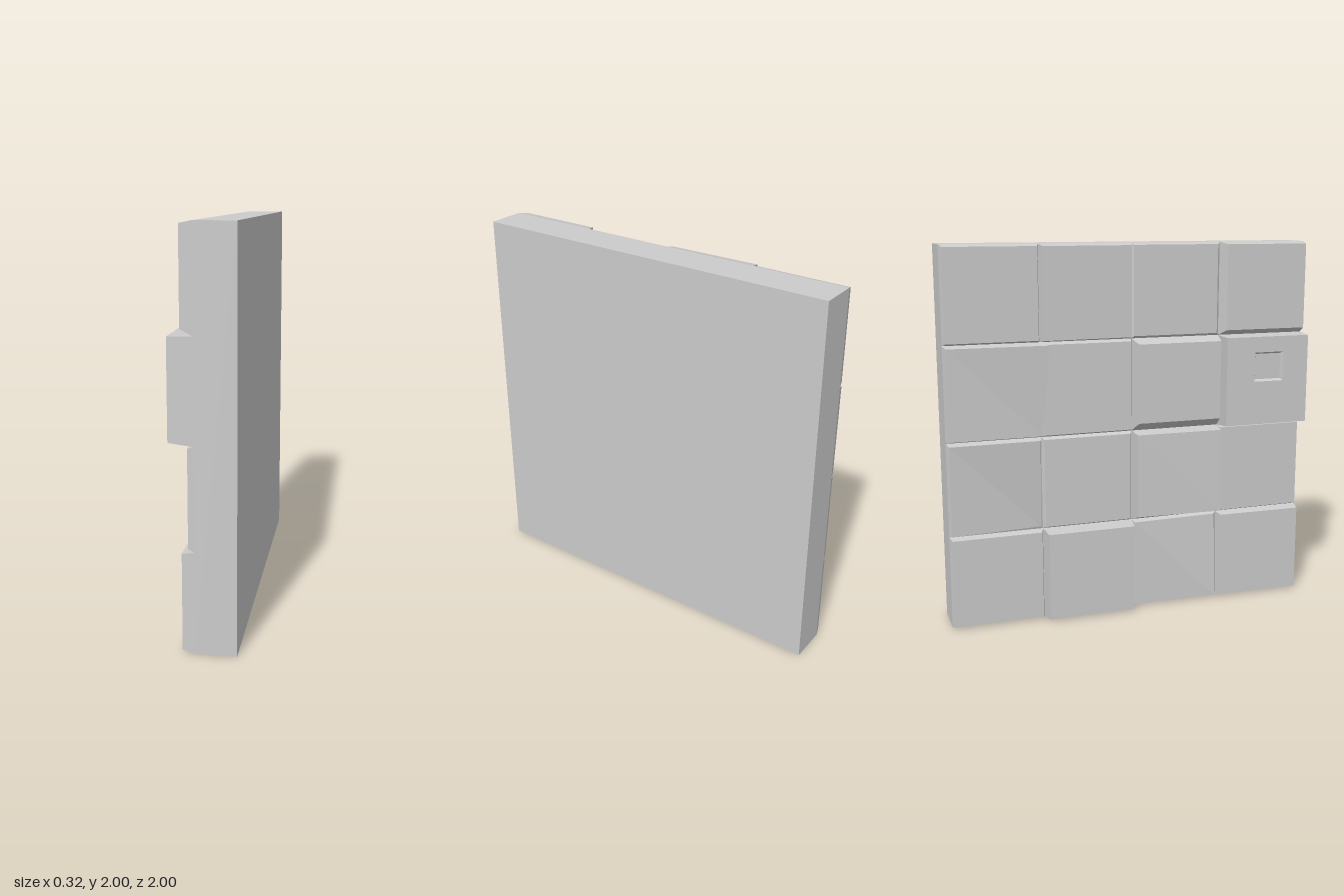
import * as THREE from 'three';

const material = new THREE.MeshStandardMaterial({ color: 0xcccccc, flatShading: true });
const WALL = -0.04; // slab face the stones stand on
const CELL = 0.5;

// Ring of four corners (top-left, top-right, bottom-right, bottom-left) seen from -x.
// x is one depth or one per corner.
function ring(x, z0, z1, y0, y1) {
  const d = Array.isArray(x) ? x : [x, x, x, x];
  return [[d[0], y1, z0], [d[1], y1, z1], [d[2], y0, z1], [d[3], y0, z0]];
}

// Joins successive rings with side walls and closes the last one.
function stackRings(rings) {
  const pos = [];
  const quad = (a, b, c, d) => [a, b, c, a, c, d].forEach((p) => pos.push(...p));
  for (let r = 0; r < rings.length - 1; r++) {
    const A = rings[r], B = rings[r + 1];
    for (let i = 0; i < 4; i++) {
      const j = (i + 1) % 4;
      quad(A[i], B[i], B[j], A[j]);
    }
  }
  const [tl, tr, br, bl] = rings[rings.length - 1];
  quad(tl, bl, br, tr);
  const g = new THREE.BufferGeometry();
  g.setAttribute('position', new THREE.Float32BufferAttribute(pos, 3));
  g.computeVertexNormals();
  return g;
}

// Stones by row (top first) and column (from -z): face depth d,
// optional insets of the face: l, r, t, b.
const stones = [
  [{ d: -0.08 }, { d: [-0.10, -0.088, -0.088, -0.10] }, { d: -0.05 }, { d: -0.10, l: 0.025, b: 0.03 }],
  [{ d: [-0.083, -0.10, -0.08, -0.08], r: [-0.04, 0] }, { d: -0.07 },
    { d: -0.115, l: 0.02, t: 0.025, b: 0.05 }, { d: -0.16, l: 0.005, t: 0.005, carved: true }],
  [{ d: [-0.08, -0.078, -0.045, -0.08] }, { d: -0.065 },
    { d: [-0.118, -0.13, -0.14, -0.115], b: 0.03 }, { d: -0.07 }],
  [{ d: -0.08 }, { d: -0.135 }, { d: [-0.07, -0.055, -0.085, -0.07] }, { d: [-0.09, -0.10, -0.10, -0.09], l: 0.015 }],
];

function stoneGeometry(row, col, { d, l = 0.012, r = 0.012, t = 0.012, b = 0.012, carved }) {
  const z0 = -1 + col * CELL, z1 = z0 + CELL;
  const y1 = 2 - row * CELL, y0 = y1 - CELL;
  const [rTop, rBottom] = Array.isArray(r) ? r : [r, r];
  const face = ring(d, z0 + l, z1 - rTop, y0 + b, y1 - t);
  face[2][2] = z1 - rBottom;
  const rings = [ring(WALL, z0, z1, y0, y1), face];
  // square socket sunk into the face
  if (carved) {
    rings.push(ring(d, 0.67, 0.84, 1.25, 1.41));
    rings.push(ring(d + 0.02, 0.68, 0.83, 1.26, 1.40));
  }
  return stackRings(rings);
}

export function createModel() {
  const model = new THREE.Group();
  model.name = 'stoneWallPanel';

  // backing slab
  const slab = new THREE.Mesh(new THREE.BoxGeometry(0.16 - WALL, 2, 2), material);
  slab.position.set((0.16 + WALL) / 2, 1, 0);
  slab.name = 'slab';
  model.add(slab);

  // uneven stones
  const wall = new THREE.Group();
  wall.name = 'stones';
  stones.forEach((line, row) => line.forEach((stone, col) => {
    const mesh = new THREE.Mesh(stoneGeometry(row, col, stone), material);
    mesh.name = stone.carved ? 'carvedStone' : `stoneRow${row + 1}Column${col + 1}`;
    wall.add(mesh);
  }));
  model.add(wall);
  return model;
}
